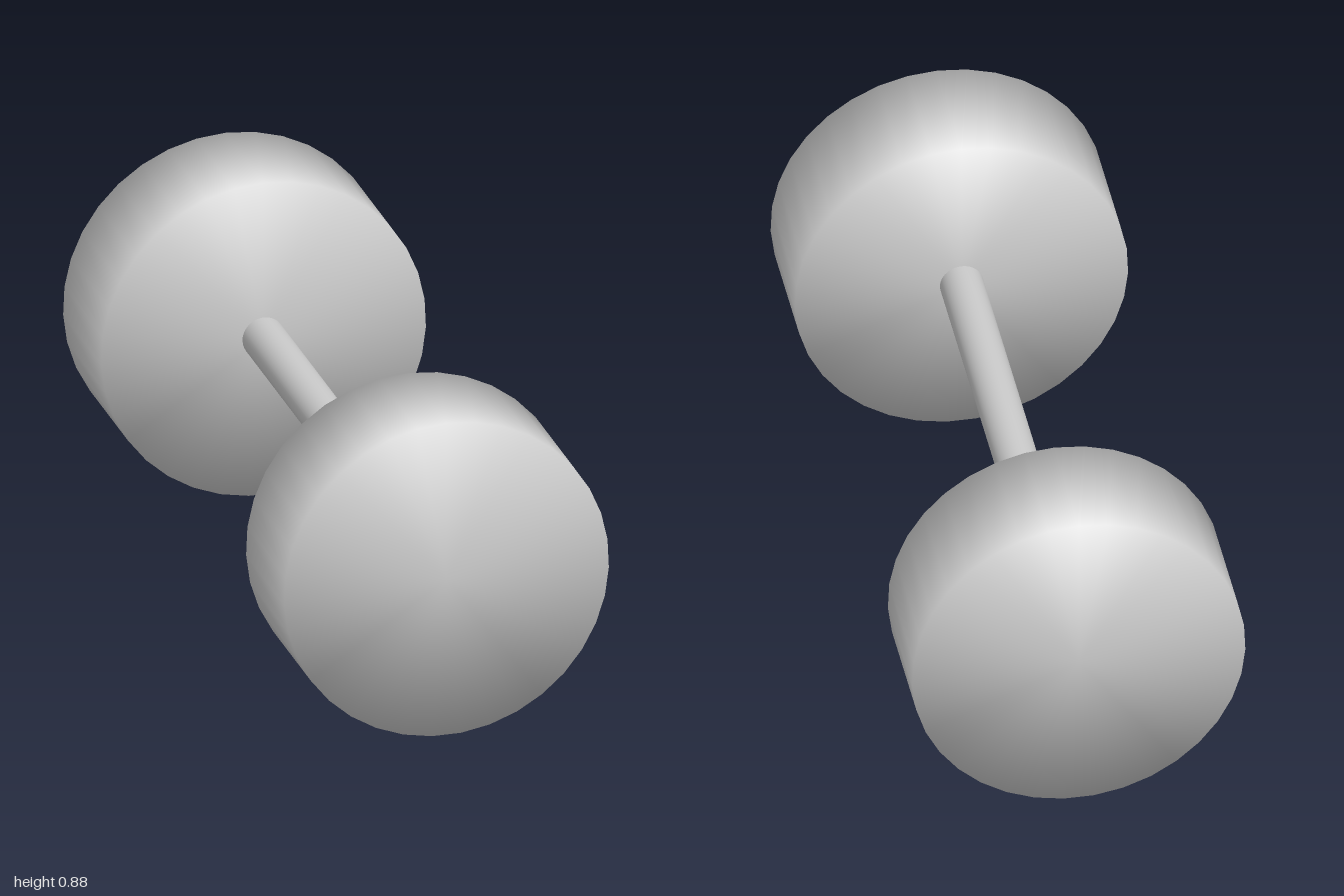
import * as THREE from 'three';
import { mergeVertices } from 'three/addons/utils/BufferGeometryUtils.js';

const SIDES = 35;
const AXIS_Y = 0.438;

// Cylinder along z with one vertex at the top and normals smoothed over its rims
function softDisc(radius, length) {
  const raw = new THREE.CylinderGeometry(radius, radius, length, SIDES, 1);
  raw.deleteAttribute('uv');
  raw.deleteAttribute('normal');
  const geometry = mergeVertices(raw, 1e-4);
  geometry.rotateX(-Math.PI / 2);
  geometry.computeVertexNormals();
  return geometry;
}

export function createModel() {
  const group = new THREE.Group();
  group.name = 'wheelset';
  const material = new THREE.MeshStandardMaterial({ color: 0xcccccc });

  const add = (name, geometry, y, z) => {
    const mesh = new THREE.Mesh(geometry, material);
    mesh.name = name;
    mesh.position.set(0, y, z);
    group.add(mesh);
  };

  // Two thick wheels at the ends
  const wheel = softDisc(0.439, 0.345);
  add('frontWheel', wheel, AXIS_Y, 0.8275);
  add('backWheel', wheel, AXIS_Y, -0.8275);

  // Thin axle joining them
  add('axle', softDisc(0.057, 1.32), AXIS_Y + 0.003, 0);

  return group;
}
